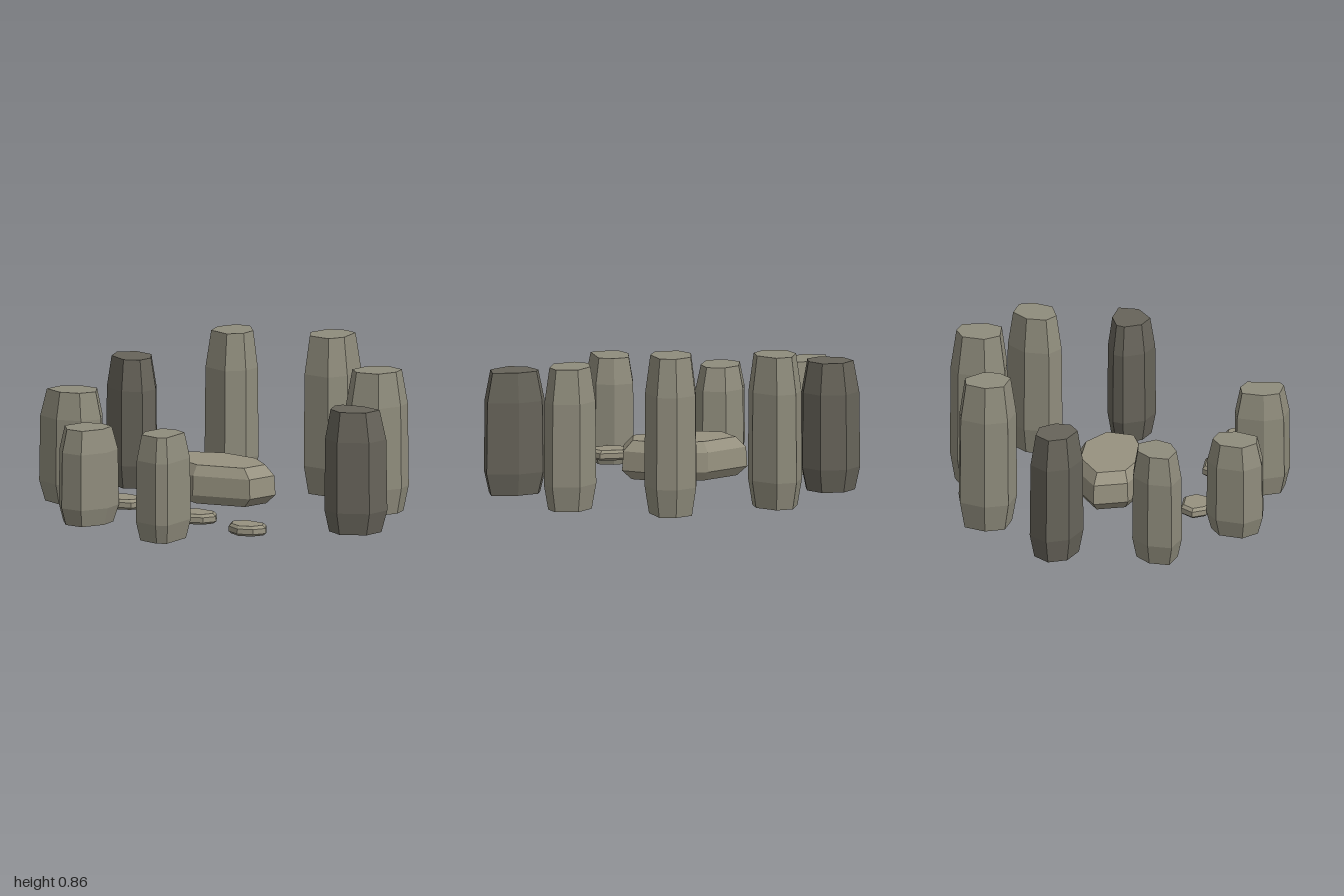
import * as THREE from 'three';

const material = (name, color) => {
  const m = new THREE.MeshStandardMaterial({ color });
  m.name = name;
  return m;
};

// Closed rock: a seven-sided outline (x, z pairs in hundredths, clockwise from above)
// swept through rings of [height, scale].
function rockGeometry(outline, rings) {
  const n = outline.length / 2;
  const pos = [];
  const point = ([y, s], i) => {
    const k = (i % n) * 2;
    return [outline[k] * s / 100, y, outline[k + 1] * s / 100];
  };
  const tri = (a, b, c) => pos.push(...a, ...b, ...c);
  const bottom = rings[0], top = rings[rings.length - 1];
  for (let i = 0; i < n; i++) {
    for (let r = 0; r < rings.length - 1; r++) {
      const a = point(rings[r], i), b = point(rings[r], i + 1);
      const c = point(rings[r + 1], i), d = point(rings[r + 1], i + 1);
      tri(b, a, c);
      tri(b, c, d);
    }
    tri([0, top[0], 0], point(top, i + 1), point(top, i));
    tri([0, bottom[0], 0], point(bottom, i), point(bottom, i + 1));
  }
  const g = new THREE.BufferGeometry();
  g.setAttribute('position', new THREE.Float32BufferAttribute(pos, 3));
  g.computeVertexNormals(); // unshared corners give flat facets
  return g;
}

export function createModel() {
  const model = new THREE.Group();
  model.name = 'stoneCircle';
  const stone = material('weathered stone', 0x8f8c7c);
  const dark = material('dark stone', 0x67645a);
  const pale = material('pale stone', 0x979280);

  const add = (name, geometry, mat, x, z) => {
    const mesh = new THREE.Mesh(geometry, mat);
    mesh.name = name;
    mesh.position.set(x, 0, z);
    model.add(mesh);
  };

  // Ring of standing stones: x, z, height, material, outline
  const stones = [
    [-0.45, -0.665, 0.825, stone, [-9, -14, 2, -15.5, 13, -4, 13, 7, 5, 15.5, -11, 12, -15, -0.5]],
    [0.13, -0.75, 0.86, stone, [0.5, -16, 11, -13, 14, 4, 8.5, 14.5, -7.5, 14.5, -14.5, 4, -11, -11]],
    [0.63, -0.49, 0.77, stone, [-2.5, -15, 12, -12, 14.5, -2, 9, 11, -6.5, 15, -15, 8.5, -13.5, -5]],
    [0.83, 0, 0.665, dark, [-0.5, -12, 16.5, -9, 15, 5, 0, 14, -12, 9, -17, -2.5, -14.5, -8]],
    [0.13, 0.76, 0.575, stone, [1.5, -15, 11, -11, 12, 11, 6.5, 14.5, -8, 12.5, -12.5, 2, -9.5, -13]],
    [-0.45, 0.66, 0.52, stone, [1, -15.5, 13, -12, 14.5, 0, 7.5, 14.5, -5, 15, -14, 5.5, -10, -9.5]],
    [-0.82, 0.27, 0.61, stone, [9.5, -13.5, 17, -2, 11, 8.5, -2, 13.5, -16.5, 9, -14.5, -4, -4, -13]],
    [-0.84, -0.265, 0.70, dark, [-6, -14, 8, -12.5, 15.5, -2, 14, 8.5, 4, 14, -11, 7.5, -15.5, -4.5]],
  ];
  stones.forEach(([x, z, h, mat, outline], i) => {
    const rings = [[0, 0.83], [h * 0.18, 1], [h * 0.76, 0.97], [h, 0.78]];
    add(`standingStone${i + 1}`, rockGeometry(outline, rings), mat, x, z);
  });

  // Altar slab in the middle
  const altar = [-10, -20.5, 17, -19, 34, -6.5, 30, 11, -1, 20.5, -29, 10, -34, -8];
  add('altarStone', rockGeometry(altar, [[0.06, 0.84], [0.11, 1], [0.215, 0.98], [0.27, 0.82]]), pale, -0.085, -0.02);

  // Three small slabs at the entrance
  const slab = rockGeometry([-6, -8.5, 7.5, -8, 12, -1.5, 8.5, 5.5, 0.5, 9, -8, 5.5, -12, -2],
    [[0.06, 0.84], [0.073, 1], [0.1, 0.98], [0.115, 0.82]]);
  [[-0.35, 0.45], [0.185, 0.525], [0.58, 0.61]].forEach(([x, z], i) =>
    add(`steppingSlab${i + 1}`, slab, pale, x, z));

  return model;
}
